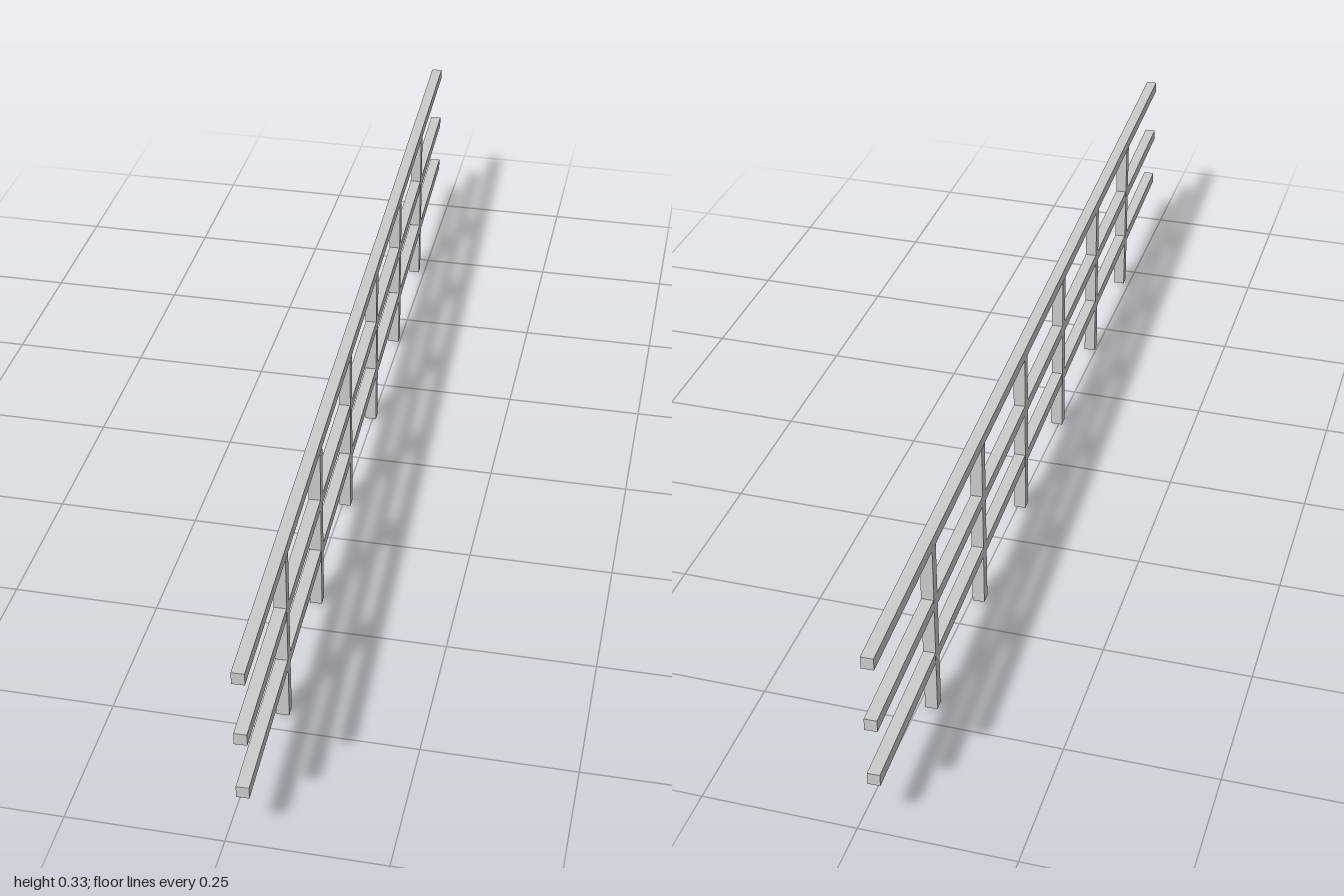
import * as THREE from 'three';

export function createModel() {
  const model = new THREE.Group();
  model.name = 'railFence';
  const material = new THREE.MeshStandardMaterial({ color: 0xcccccc, flatShading: true });

  // The whole fence runs along z, turned slightly about the vertical axis
  const fence = new THREE.Group();
  fence.name = 'fence';
  fence.rotation.y = 0.0304;
  model.add(fence);

  const addBar = (name, w, h, d, y, z) => {
    const bar = new THREE.Mesh(new THREE.BoxGeometry(w, h, d), material);
    bar.name = name;
    bar.position.set(0, y, z);
    fence.add(bar);
  };

  // Three horizontal rails
  const rails = { bottomRail: 0.105, middleRail: 0.2095, topRail: 0.324 };
  for (const [name, y] of Object.entries(rails)) addBar(name, 0.02, 0.0205, 2, y, 0);

  // Six evenly spaced posts, ending under the top rail
  const postHeight = 0.314, spacing = 0.2822;
  for (let i = 0; i < 6; i++) {
    addBar(`post${i + 1}`, 0.0205, postHeight, 0.0195, postHeight / 2, (2.5 - i) * spacing);
  }
  return model;
}
